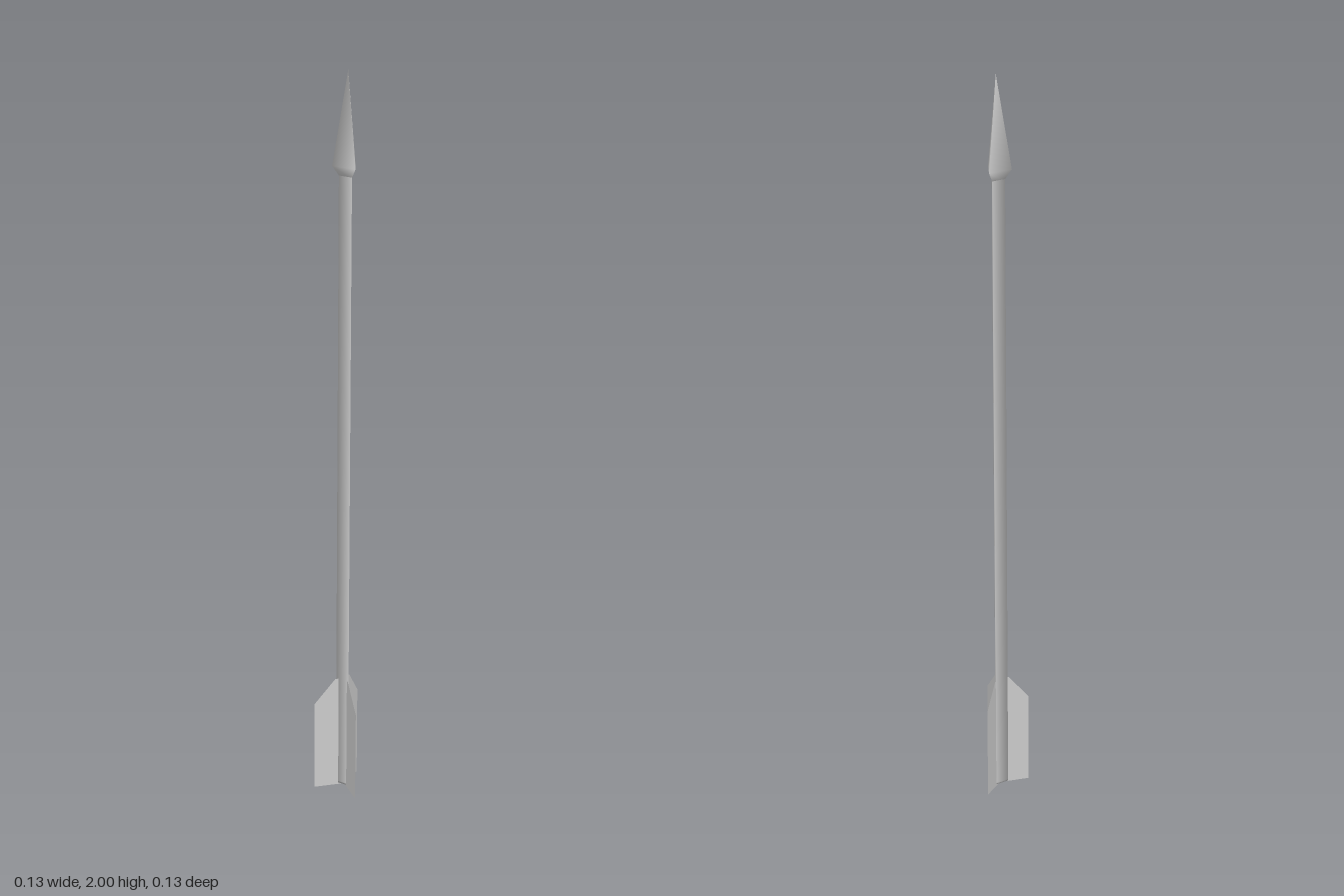
import * as THREE from 'three';

const grey = new THREE.MeshStandardMaterial({ color: 0xcccccc });
const thin = new THREE.MeshStandardMaterial({ color: 0xcccccc, side: THREE.DoubleSide });

// The whole arrow leans slightly: shift every vertex with height
const axis = (y) => [-0.003 + 0.0055 * y, 0.006 - 0.002 * y];
function lean(geometry) {
  const p = geometry.attributes.position;
  for (let i = 0; i < p.count; i++) {
    const [dx, dz] = axis(p.getY(i));
    p.setXYZ(i, p.getX(i) + dx, p.getY(i), p.getZ(i) + dz);
  }
  return geometry;
}

// Three-sided smooth body with one corner pointing back; profile is [radius, y] upwards
function triangularBody(name, profile) {
  const points = profile.map(([r, y]) => new THREE.Vector2(r, y));
  const mesh = new THREE.Mesh(lean(new THREE.LatheGeometry(points, 3, Math.PI)), grey);
  mesh.name = name;
  return mesh;
}

// Flat vane running out from the shaft axis to an outer edge at (x, z)
function vane(name, x, z) {
  const [cx, cz] = axis(0);
  const r = Math.hypot(x - cx, z - cz);
  const shape = new THREE.Shape([[0.008, 0], [r, 0], [r, 0.26], [0.025, 0.33], [0.008, 0.33]]
    .map(([a, b]) => new THREE.Vector2(a, b)));
  const geometry = new THREE.ShapeGeometry(shape).rotateY(-Math.atan2(z - cz, x - cx));
  const mesh = new THREE.Mesh(lean(geometry), thin);
  mesh.name = name;
  return mesh;
}

export function createModel() {
  const arrow = new THREE.Group();
  arrow.name = 'arrow';

  // Shaft, closed at its lower end
  arrow.add(triangularBody('shaft', [[0, 0.005], [0.022, 0.005], [0.022, 0.01], [0.0215, 1.75]]));

  // Pointed head with a short taper back to the shaft
  arrow.add(triangularBody('arrowHead', [[0.018, 1.73], [0.038, 1.76], [0, 2]]));

  // Three feathers
  arrow.add(
    vane('backFletching', -0.003, -0.065),
    vane('leftFletching', 0.063, 0.059),
    vane('rightFletching', -0.063, 0.062),
  );
  return arrow;
}
